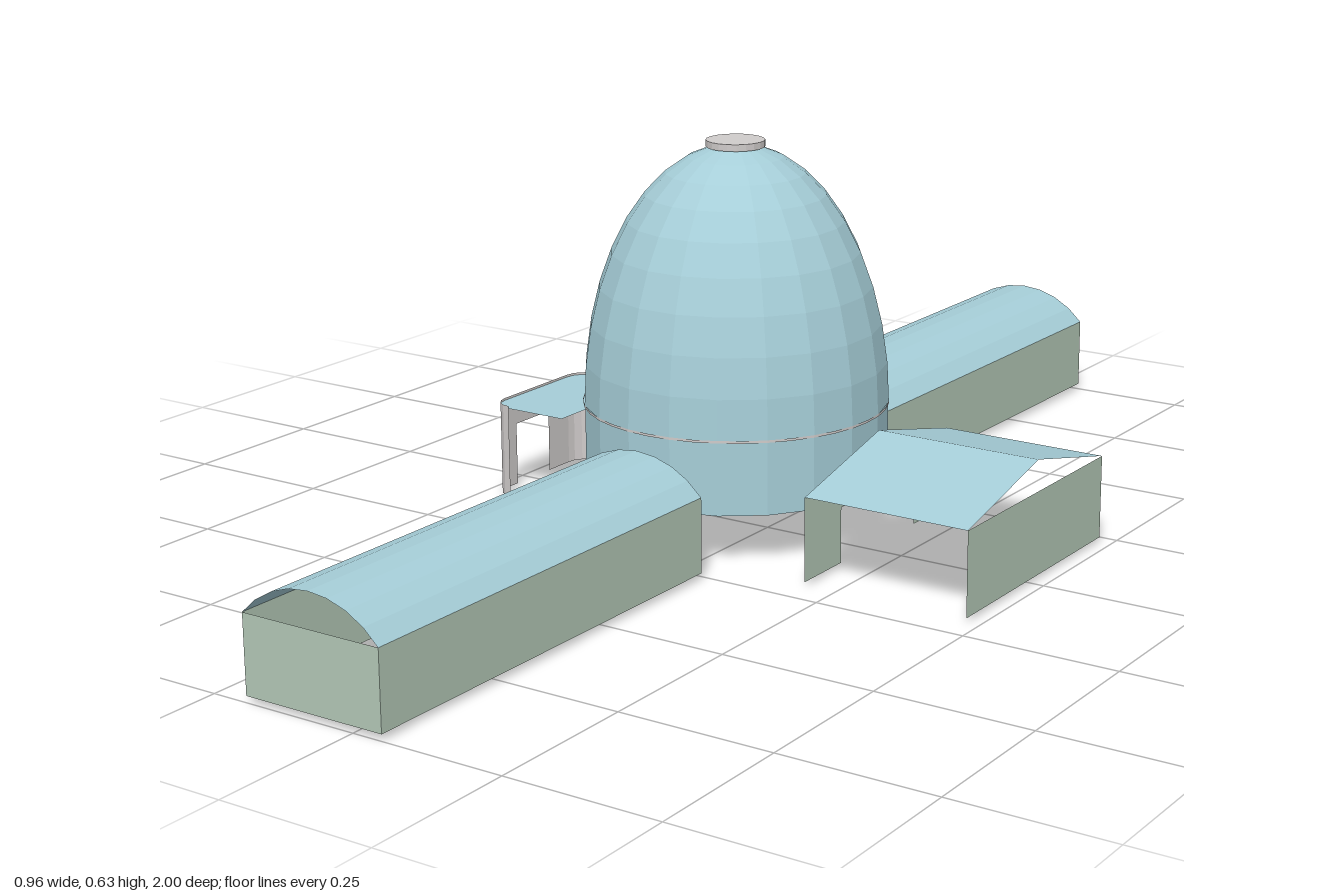
import * as THREE from 'three';

const mat = (name, color) => new THREE.MeshStandardMaterial({ name, color, flatShading: true, side: THREE.DoubleSide });

// Open sheet spanning two matching rows of points
function sheet(rowA, rowB) {
  const pos = [];
  for (let i = 0; i < rowA.length - 1; i++) {
    const a = rowA[i], b = rowA[i + 1], c = rowB[i + 1], d = rowB[i];
    pos.push(...a, ...b, ...c, ...a, ...c, ...d);
  }
  const g = new THREE.BufferGeometry();
  g.setAttribute('position', new THREE.Float32BufferAttribute(pos, 3));
  g.computeVertexNormals();
  return g;
}

// Vertical wall along a ground path of [x, z] points
const wall = (path, y0, y1) => sheet(path.map(([x, z]) => [x, y0, z]), path.map(([x, z]) => [x, y1, z]));

export function createModel() {
  const root = new THREE.Group();
  const blue = mat('paleBlue', 0xa6ced8);
  const green = mat('paleGreen', 0xb3c8b7);
  const grey = mat('lightGrey', 0xd0cccb);
  const add = (parent, name, geo, material) => {
    const m = new THREE.Mesh(geo, material);
    m.name = name;
    parent.add(m);
    return m;
  };
  const group = (name) => {
    const g = new THREE.Group();
    g.name = name;
    root.add(g);
    return g;
  };

  // Central dome: open drum, half-ellipsoid shell, thin seam ring and cap
  const tower = group('tower');
  tower.position.set(-0.068, 0, -0.012);
  const turn = Math.PI / 20;
  add(tower, 'drum', new THREE.CylinderGeometry(0.245, 0.245, 0.12, 20, 1, true, turn), blue).position.y = 0.145;
  const profile = [];
  for (let i = 0; i <= 10; i++) {
    const t = (i / 10) * Math.PI / 2;
    profile.push(new THREE.Vector2(i === 10 ? 0 : 0.246 * Math.cos(t), 0.205 + 0.415 * Math.sin(t)));
  }
  add(tower, 'domeShell', new THREE.LatheGeometry(profile, 20, turn), blue);
  add(tower, 'seamRing', new THREE.CylinderGeometry(0.246, 0.246, 0.004, 40, 1, true), grey).position.y = 0.204;
  add(tower, 'topCap', new THREE.CylinderGeometry(0.047, 0.047, 0.011, 20), grey).position.y = 0.621;

  // Two vaulted wings with an outer end wall, open underneath and at the gables
  const cx = -0.07, half = 0.12, rise = 0.054, eave = 0.131;
  const radius = (half * half + rise * rise) / (2 * rise);
  const spread = Math.asin(half / radius);
  for (const [name, inner, outer] of [['frontWing', 0.26, 1], ['backWing', -0.277, -1]]) {
    const wing = group(name);
    const s = Math.sign(outer);
    const arc = [];
    for (let i = 0; i <= 8; i++) {
      const a = s * spread * (i / 4 - 1);
      arc.push([cx + radius * Math.sin(a), eave + rise - radius * (1 - Math.cos(a))]);
    }
    add(wing, 'vaultedRoof', sheet(arc.map(([x, y]) => [x, y, outer]), arc.map(([x, y]) => [x, y, inner])), blue);
    const l = cx - s * half, r = cx + s * half;
    add(wing, 'wingWalls', wall([[l, inner], [l, outer], [r, outer], [r, inner]], 0.01, eave), green);
  }

  // Gabled shelter: pitched roof, solid outer wall, inner wall with doorway
  const shelter = group('gabledShelter');
  const x0 = 0.2, x1 = 0.48, zF = 0.204, zB = -0.228, zMid = -0.012, top = 0.143;
  const slope = (x) => [[x, top, zF], [x, 0.194, zMid], [x, top, zB]];
  add(shelter, 'pitchedRoof', sheet(slope(x0), slope(x1)).scale(1, 1, 1), blue);
  add(shelter, 'outerWall', wall([[x1, zF], [x1, zB]], 0.008, top), green);
  const innerWall = new THREE.Shape([
    [zB, 0.008], [zB + 0.105, 0.008], [zB + 0.105, 0.098], [zF - 0.105, 0.098],
    [zF - 0.105, 0.008], [zF, 0.008], [zF, top], [zB, top],
  ].map(([u, v]) => new THREE.Vector2(-u, v)));
  const inner = add(shelter, 'doorwayWall', new THREE.ShapeGeometry(innerWall), green);
  inner.rotation.y = Math.PI / 2;
  inner.scale.z = 1;
  inner.position.x = x0;

  // Small porch: flat canopy with rounded outer corners over a curved screen
  const porch = group('porch');
  const px = -0.48, pr = 0.035, pF = 0.102, pB = -0.14;
  const corner = (zc, from) => Array.from({ length: 5 }, (_, i) => {
    const a = from + (i / 4) * Math.PI / 2;
    return [px + pr - pr * Math.sin(a), zc - pr * Math.cos(a)];
  });
  const backCorner = corner(pB + pr, 0);
  const frontCorner = corner(pF - pr, Math.PI / 2);
  const outline = [[-0.335, pB], ...backCorner, ...frontCorner, [-0.335, pF]];
  const canopy = new THREE.ShapeGeometry(new THREE.Shape(outline.map(([x, z]) => new THREE.Vector2(x, -z))));
  add(porch, 'canopy', canopy.rotateX(-Math.PI / 2), blue).position.y = 0.153;
  add(porch, 'backLeg', wall([...backCorner, [px, -0.05]], 0, 0.157), grey);
  add(porch, 'frontLeg', wall([[px, 0.038], ...frontCorner], 0, 0.157), grey);
  add(porch, 'screenLintel', wall([[px, -0.05], [px, 0.038]], 0.105, 0.157), grey);

  return root;
}
